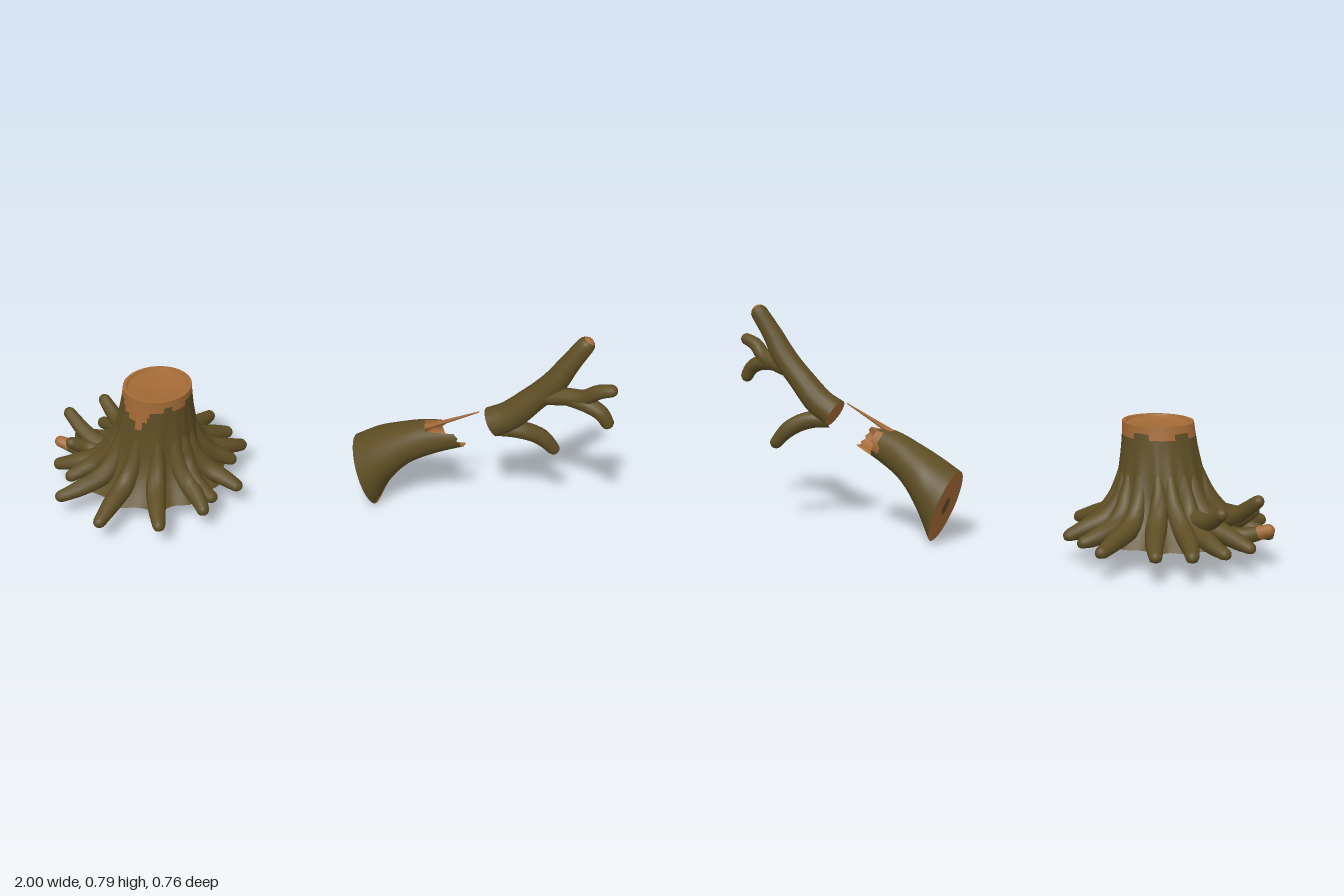
import * as THREE from 'three';

const V = (x, y, z) => new THREE.Vector3(x, y, z);
const GROUND = 0.08;

// Skin a list of equal-sized rings; paint(row, column) picks the material index
function loft(name, rings, materials, paint = () => 0) {
  const n = rings[0].length;
  const lists = materials.map(() => []);
  for (let i = 0; i < rings.length - 1; i++) {
    for (let j = 0; j < n; j++) {
      const k = (j + 1) % n;
      const a = i * n + j, b = i * n + k, c = b + n, d = a + n;
      lists[paint(i, j)].push(a, b, c, a, c, d);
    }
  }
  const geo = new THREE.BufferGeometry().setFromPoints(rings.flat());
  geo.setIndex(lists.flat());
  let start = 0;
  lists.forEach((l, m) => { geo.addGroup(start, l.length, m); start += l.length; });
  geo.computeVertexNormals();
  const mesh = new THREE.Mesh(geo, materials);
  mesh.name = name;
  return mesh;
}

const centreOf = (ring) => ring.reduce((s, p) => s.add(p), V(0, 0, 0)).divideScalar(ring.length);
const shrink = (ring, k, c) => ring.map((p) => c.clone().lerp(p, k));

// Rounded, tapering limb swept along a smooth path
function limb(name, points, radii, materials, { ref = V(0, 0, 1), sides = 12, floor = -1, tipRows = 0, rows = 14 } = {}) {
  const curve = new THREE.CatmullRomCurve3(points);
  const last = radii.length - 1;
  const e = radii[last] / curve.getLength();
  const samples = [];
  for (let i = 0; i <= rows; i++) samples.push([(1 - e) * i / rows, 1]);
  for (let i = 1; i <= 4; i++) {
    const q = i / 4 * Math.PI / 2;
    samples.push([Math.min(1, 1 - e + e * Math.sin(q)), Math.max(Math.cos(q), 0.001)]);
  }
  const rings = samples.map(([t, k]) => {
    const p = curve.getPointAt(t), T = curve.getTangentAt(t);
    const U = ref.clone().cross(T).normalize(), W = T.clone().cross(U);
    const f = t * last, i = Math.min(Math.floor(f), last - 1);
    const r = k * THREE.MathUtils.lerp(radii[i], radii[i + 1], f - i);
    return Array.from({ length: sides }, (_, j) => {
      const a = j / sides * Math.PI * 2;
      const q = p.clone().addScaledVector(U, r * Math.cos(a)).addScaledVector(W, r * Math.sin(a));
      q.y = Math.max(q.y, floor);
      return q;
    });
  });
  const mesh = loft(name, rings, materials, (i) => (i >= rings.length - 1 - tipRows ? 1 : 0));
  mesh.userData.firstRing = rings[0];
  return mesh;
}

function makeStump(bark, wood) {
  const stump = new THREE.Group();
  stump.name = 'stump';
  const tips = [
    [-0.5, -0.38], [-0.69, -0.37], [-0.8, -0.33], [-0.9, -0.25], [-0.96, -0.15], [-0.98, 0.05],
    [-0.91, 0.13], [-0.91, 0.25], [-0.72, 0.38], [-0.5, 0.36], [-0.37, 0.24],
    [-0.35, 0.15], [-0.28, 0.065], [-0.34, -0.1], [-0.33, -0.21], [-0.4, -0.28],
  ];
  const angles = tips.map(([x, z]) => Math.atan2(x + 0.62, z));
  const axis = (y) => {
    const k = (y - GROUND) / 0.385;
    return V(-0.62 + 0.038 * k, y, 0.022 * k);
  };

  // Fluted trunk flaring towards the ground
  const profile = [[0.245, 0.08], [0.225, 0.105], [0.195, 0.14], [0.168, 0.19], [0.152, 0.24], [0.14, 0.3],
    [0.132, 0.35], [0.128, 0.38], [0.126, 0.4], [0.124, 0.42], [0.122, 0.44], [0.12, 0.465]];
  const n = 96;
  const rings = profile.map(([r, y]) => Array.from({ length: n }, (_, j) => {
    const a = j / n * Math.PI * 2;
    const bump = Math.max(...angles.map((b) => Math.exp(-(((1 - Math.cos(a - b)) * 2) / 0.02))));
    const rr = r + (bump - 0.5) * 0.022 * Math.max(0, 1 - (y - GROUND) / 0.34);
    return axis(y).add(V(Math.sin(a) * rr, 0, Math.cos(a) * rr));
  }));
  // Ragged edge where the bark has been stripped from the top
  const bareFrom = (j) => {
    const a = j / n * Math.PI * 2;
    const gap = 1 - Math.cos(a + 0.35);
    return 0.425 + 0.012 * Math.sin(5 * a) + 0.008 * Math.sin(11 * a + 1) - 0.06 * Math.exp(-gap * 9);
  };
  stump.add(loft('stumpTrunk', rings, [bark, wood], (i, j) => (profile[i][1] >= bareFrom(j) - 0.005 ? 1 : 0)));
  stump.add(loft('stumpUnderside', [shrink(rings[0], 0.001, axis(GROUND)), rings[0]], [bark]));

  // Slightly sunken cut face inside a raised rim
  const top = rings[rings.length - 1];
  const dip = axis(0.465).setY(0.452);
  stump.add(loft('stumpRim', [top, shrink(top, 0.9, axis(0.465))], [wood]));
  stump.add(loft('stumpCutFace', [shrink(top, 0.9, axis(0.465)), shrink(top, 0.86, dip).map((p) => p.setY(0.453)),
    shrink(top, 0.001, dip)], [wood]));

  // Roots spreading over the ground
  tips.forEach(([x, z], i) => {
    const len = Math.hypot(x + 0.62, z), dx = (x + 0.62) / len, dz = z / len;
    const bend = 0.014 * Math.sin(i * 2.4);
    const at = (r, y, s = 0) => axis(y).add(V(dx * r - dz * s, 0, dz * r + dx * s));
    const path = [at(0.122, 0.32), at(0.152, 0.21), at(0.2, 0.145, bend),
      at(THREE.MathUtils.lerp(0.2, len, 0.55), 0.112, bend), V(x, 0.09, z)];
    stump.add(limb('root', path, [0.014, 0.028, 0.036, 0.031, 0.02], [bark, wood], { ref: V(0, 1, 0), floor: GROUND, sides: 10 }));
  });

  // Raised roots on one side, one of them broken off
  const raised = [
    [[-0.72, 0.17, -0.09], [-0.8, 0.175, -0.16], [-0.875, 0.23, -0.22], 0],
    [[-0.74, 0.14, 0], [-0.86, 0.17, -0.03], [-0.965, 0.25, -0.08], 0],
    [[-0.74, 0.16, 0.01], [-0.85, 0.145, 0], [-0.93, 0.19, 0.04], 0],
    [[-0.74, 0.13, -0.03], [-0.88, 0.105, -0.035], [-1, 0.14, -0.035], 6],
  ];
  for (const [a, b, c, tipRows] of raised) {
    stump.add(limb('raisedRoot', [V(...a), V(...b), V(...c)], [0.036, 0.03, 0.02], [bark, wood],
      { ref: V(0, 1, 0), floor: GROUND, sides: 10, tipRows }));
  }
  return stump;
}

function makeLog(bark, wood) {
  const log = new THREE.Group();
  log.name = 'fallenLog';
  // Stations: centre x, y, z, then the half height vector and half depth
  const stations = [
    [0.143, 0.129, -0.09, -0.048, 0.126, 0.112], [0.203, 0.207, -0.088, -0.035, 0.09, 0.105],
    [0.277, 0.27, -0.075, -0.027, 0.067, 0.082], [0.367, 0.318, -0.06, -0.026, 0.057, 0.06],
    [0.477, 0.353, -0.047, -0.022, 0.04, 0.048],
  ];
  const n = 32, rows = 14;
  const columns = Array.from({ length: n }, (_, j) => {
    const a = j / n * Math.PI * 2, c = Math.cos(a), s = Math.sin(a);
    return new THREE.CatmullRomCurve3(stations.map(([x, y, z, hx, hy, d]) => V(x + hx * c, y + hy * c, z + d * s)));
  });
  // Stepped break at the thin end
  const endAt = (j) => {
    const a = j / n * Math.PI * 2, c = Math.cos(a), s = Math.sin(a);
    if (c > 0.6 && s > -0.3) return 0.77;
    if (s < -0.3) return c > 0 ? 0.88 : 0.84;
    return 0.99 + 0.01 * Math.sin(j * 2.1);
  };
  const rings = Array.from({ length: rows + 1 }, (_, i) => columns.map((col, j) => col.getPoint(endAt(j) * i / rows)));
  log.add(loft('logBark', rings, [bark, wood],
    (i, j) => (i < 3 && Math.abs(j + 0.5 - n / 2) < 3.2 - i * 0.8) || (i === rows - 1 && j > 21 && j < 29) ? 1 : 0));

  // Wide end with a dark heart
  const end = rings[0], mid = centreOf(end);
  const heart = shrink(end, 0.25, mid);
  log.add(loft('logEndFace', [heart, end], [wood]));
  log.add(loft('logHeart', [shrink(end, 0.001, mid), heart], [bark]));

  // Hollow broken end and long splinter
  const edge = rings[rows];
  const deep = columns.map((col) => col.getPoint(0.74));
  const core = centreOf(deep);
  log.add(loft('brokenWood', [edge, edge.map((p, j) => p.clone().lerp(deep[j], 0.15).lerp(core, 0.18)),
    shrink(deep, 0.7, core), shrink(deep, 0.001, core)], [wood]));
  log.add(limb('splinter', [V(0.33, 0.35, -0.05), V(0.43, 0.402, -0.042), V(0.538, 0.457, -0.036)],
    [0.015, 0.007, 0.002], [wood, bark], { sides: 5, rows: 4 }));
  return log;
}

function makeBranch(bark, wood) {
  const branch = new THREE.Group();
  branch.name = 'brokenBranch';
  const both = [bark, wood];
  const main = limb('mainBranch', [V(0.583, 0.418, -0.042), V(0.64, 0.452, -0.04), V(0.71, 0.525, -0.035),
    V(0.785, 0.612, -0.03), V(0.83, 0.69, -0.03), V(0.892, 0.788, -0.037)],
  [0.053, 0.05, 0.044, 0.042, 0.034, 0.029], both, { sides: 16, rows: 20, tipRows: 2 });
  branch.add(main);
  const cut = main.userData.firstRing;
  branch.add(loft('branchCutFace', [shrink(cut, 0.001, centreOf(cut)), cut], [wood]));
  branch.add(limb('sideBranch', [V(0.74, 0.555, -0.025), V(0.82, 0.575, -0.005), V(0.89, 0.595, 0.02),
    V(0.935, 0.635, 0.04), V(0.995, 0.657, 0.054)], [0.03, 0.031, 0.028, 0.025, 0.02], both));
  branch.add(limb('sideTwig', [V(0.83, 0.575, 0), V(0.9, 0.572, 0.025), V(0.95, 0.55, 0.038),
    V(0.982, 0.498, 0.038)], [0.026, 0.028, 0.026, 0.021], both));
  branch.add(limb('lowerBranch', [V(0.6, 0.392, -0.045), V(0.68, 0.39, -0.055), V(0.75, 0.357, -0.075),
    V(0.81, 0.29, -0.09)], [0.026, 0.031, 0.029, 0.02], both));
  return branch;
}

export function createModel() {
  const bark = new THREE.MeshStandardMaterial({ color: 0x5e4e24 });
  bark.name = 'bark';
  const wood = new THREE.MeshStandardMaterial({ color: 0xa36a36 });
  wood.name = 'bareWood';
  const model = new THREE.Group();
  model.name = 'felledTree';
  model.add(makeStump(bark, wood), makeLog(bark, wood), makeBranch(bark, wood));
  return model;
}
